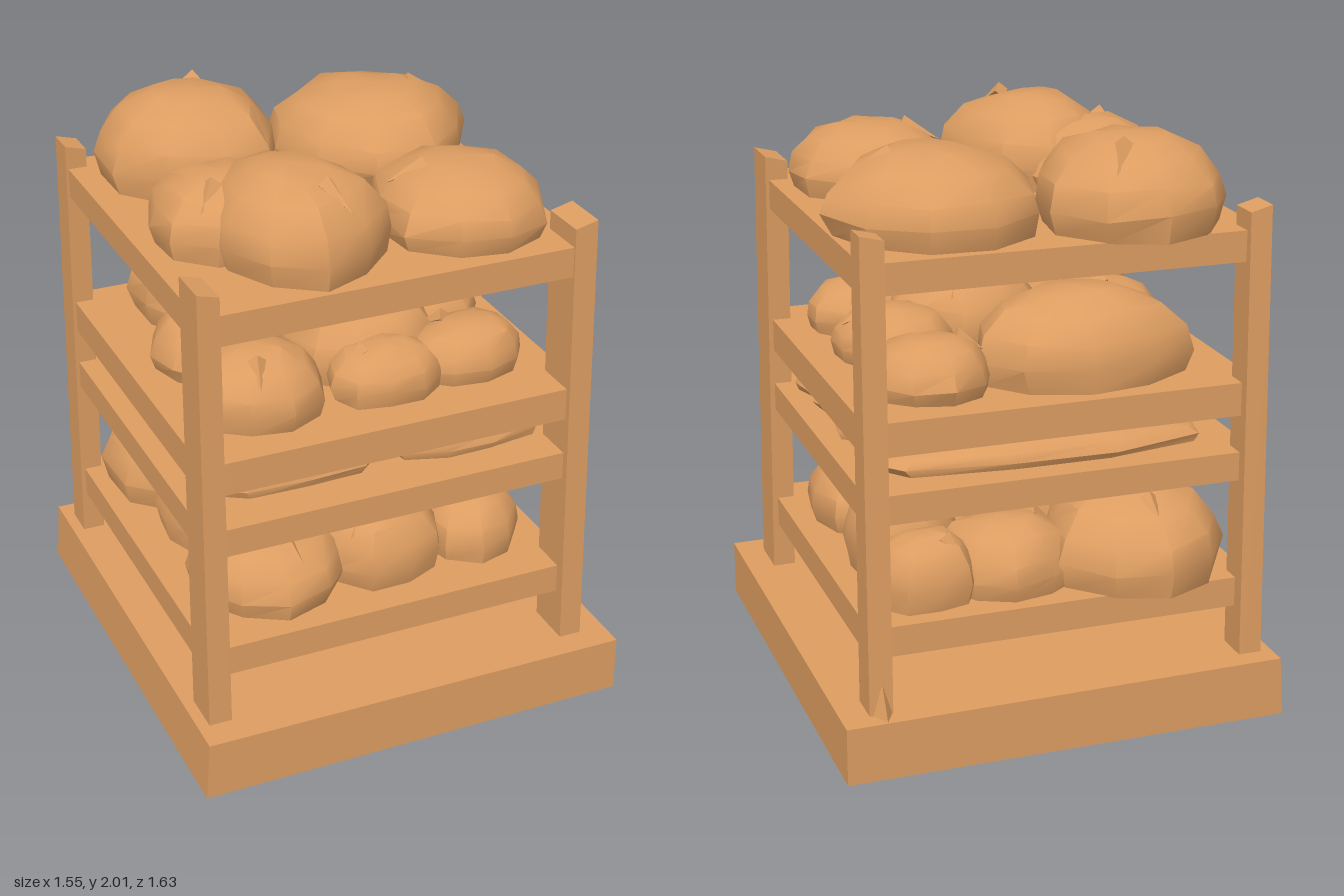
import * as THREE from 'three';
import { toCreasedNormals } from 'three/addons/utils/BufferGeometryUtils.js';

const crust = new THREE.MeshStandardMaterial({ color: 0xdd9d61 });
crust.name = 'warm brown';

// small seeded generator, so every loaf is irregular but repeatable
function seeded(seed) {
  let s = seed * 7919 + 17;
  return () => ((s = (s * 16807) % 2147483647) / 2147483647);
}

function mesh(geometry, name) {
  const m = new THREE.Mesh(geometry, crust);
  m.name = name;
  return m;
}

// box whose vertices are moved by a rule
function bentBox(w, h, d, segments, rule, name) {
  const g = new THREE.BoxGeometry(w, h, d, ...segments);
  const p = g.attributes.position;
  const v = new THREE.Vector3();
  for (let i = 0; i < p.count; i++) {
    rule(v.fromBufferAttribute(p, i));
    p.setXYZ(i, v.x, v.y, v.z);
  }
  return mesh(toCreasedNormals(g, 0.3), name);
}

// post given by [x0, x1, z0, z1] at the bottom and at the top
function post(bottom, top, height, name) {
  return bentBox(1, 1, 1, [1, 1, 1], (v) => {
    const e = v.y > 0 ? top : bottom;
    const lift = v.y > 0 && v.x * e[0] > 0 ? 0.02 : 0;
    v.set(v.x < 0 ? e[0] : e[1], v.y > 0 ? height + lift : 0.19, v.z < 0 ? e[2] : e[3]);
  }, name);
}

// loaf cross-sections: [radius, height], both relative
const RINGS = [[0.93, 0], [1, 0.28], [0.93, 0.55], [0.72, 0.81], [0.4, 0.96]];
const SIDES = 10;

function loaf([x, z, rx, rz, h], y, seed, slashes, square) {
  const rand = seeded(seed);
  const group = new THREE.Group();
  group.name = 'loaf';
  const turn = rand() * 6;
  const wobble = Array.from({ length: SIDES }, () => 0.93 + rand() * 0.11);
  const lean = [(rand() - 0.5) * 0.25, (rand() - 0.5) * 0.25];
  const pos = [];
  const index = [];
  RINGS.forEach(([r, t], i) => {
    for (let j = 0; j < SIDES; j++) {
      const a = turn + (j / SIDES) * Math.PI * 2;
      const c = Math.cos(a), s = Math.sin(a);
      // square > 2 gives blunter ends
      const blunt = (Math.abs(c) ** square + Math.abs(s) ** square) ** (-1 / square);
      const k = r * wobble[j] * blunt * (0.97 + rand() * 0.06);
      const dy = i ? (rand() - 0.5) * 0.07 : 0;
      pos.push((c * k + lean[0] * t * (1 - r)) * rx, (t + dy) * h, (s * k + lean[1] * t * (1 - r)) * rz);
    }
  });
  const peak = RINGS.length * SIDES;
  pos.push(lean[0] * rx, h, lean[1] * rz, 0, 0, 0);
  for (let j = 0; j < SIDES; j++) {
    const n = (j + 1) % SIDES;
    for (let i = 0; i < RINGS.length - 1; i++) {
      const a = i * SIDES + j, b = i * SIDES + n;
      index.push(a, a + SIDES, b, b, a + SIDES, b + SIDES);
    }
    const last = (RINGS.length - 1) * SIDES;
    index.push(last + j, peak, last + n, j, n, peak + 1);
  }
  const g = new THREE.BufferGeometry();
  g.setAttribute('position', new THREE.Float32BufferAttribute(pos, 3));
  g.setIndex(index);
  group.add(mesh(toCreasedNormals(g, 0.7), 'crust'));

  // low ridges of crust along the scored cuts, half sunk into the dome
  const slope = Math.atan2(h * 0.6, (rx + rz) / 2);
  for (let i = 0; i < slashes; i++) {
    const a = rand() * Math.PI * 2;
    const ridge = mesh(toCreasedNormals(new THREE.ConeGeometry(0.03, 0.5 * rx, 4), 0.2), 'scoredRidge');
    ridge.position.set(Math.cos(a) * rx * 0.62, h * 0.82, Math.sin(a) * rz * 0.62);
    ridge.rotation.set(0, -a, -Math.PI / 2 - slope);
    group.add(ridge);
  }
  group.position.set(x, y, z);
  return group;
}

// shelves: bottom and top height, then loaves as [x, z, radius x, radius z, height]
const SHELVES = [
  { y0: 0.37, y1: 0.475, slashes: 1, square: 2.2, loaves: [
    [-0.37, 0.34, 0.27, 0.28, 0.25], [0.04, 0.37, 0.24, 0.22, 0.26], [0.4, 0.31, 0.2, 0.26, 0.23],
    [-0.34, -0.45, 0.31, 0.33, 0.32], [-0.32, -0.03, 0.3, 0.22, 0.29], [0.08, -0.02, 0.24, 0.25, 0.28],
    [0.39, -0.17, 0.21, 0.2, 0.31], [0.1, -0.43, 0.24, 0.22, 0.24], [0.41, -0.49, 0.19, 0.15, 0.24],
  ] },
  { y0: 0.83, y1: 0.93, sag: true, slashes: 0, square: 4, loaves: [[0, -0.43, 0.58, 0.18, 0.1]] },
  { y0: 1.06, y1: 1.175, slashes: 1, square: 2.2, loaves: [
    [-0.4, 0.36, 0.24, 0.23, 0.23], [0.04, 0.41, 0.2, 0.16, 0.18], [0.36, 0.37, 0.22, 0.17, 0.18],
    [0.05, 0.17, 0.28, 0.24, 0.26], [0.36, 0.0, 0.22, 0.2, 0.18], [-0.4, 0.0, 0.23, 0.23, 0.21],
    [-0.18, -0.38, 0.38, 0.28, 0.305], [0.36, -0.4, 0.22, 0.21, 0.19],
  ] },
  { y0: 1.59, y1: 1.695, slashes: 1, square: 2, loaves: [
    [-0.32, -0.43, 0.325, 0.34, 0.305], [0.31, -0.32, 0.36, 0.37, 0.27],
    [-0.24, 0.32, 0.295, 0.35, 0.3], [-0.4, 0.13, 0.265, 0.265, 0.24],
    [0.34, 0.35, 0.295, 0.325, 0.23],
  ] },
];

// rows of long flat loaves on the second shelf
[0.41, 0.18, -0.1].forEach((z) => {
  SHELVES[1].loaves.push([-0.29, z, 0.32, 0.13, 0.1], [0.32, z + 0.02, 0.28, 0.13, 0.105]);
});

export function createModel() {
  const rack = new THREE.Group();
  rack.name = 'breadRack';

  // plinth, slightly uneven at the corners
  rack.add(bentBox(1.55, 0.2, 1.63, [1, 1, 1], (v) => {
    v.y += 0.1;
    if (v.y > 0.1 && v.x < 0) {
      v.x += 0.015;
      v.y += 0.01;
    }
  }, 'base'));

  // corner posts, leaning a little
  rack.add(
    post([0.6, 0.68, 0.55, 0.72], [0.59, 0.67, 0.51, 0.68], 1.76, 'frontLeftPost'),
    post([-0.72, -0.64, 0.56, 0.71], [-0.71, -0.635, 0.53, 0.68], 1.76, 'frontRightPost'),
    post([0.6, 0.68, -0.75, -0.63], [0.59, 0.67, -0.7, -0.605], 1.77, 'backLeftPost'),
    post([-0.72, -0.64, -0.74, -0.62], [-0.71, -0.635, -0.71, -0.6], 1.76, 'backRightPost'),
  );

  // splinter at the foot of one back post
  const spur = mesh(toCreasedNormals(new THREE.ConeGeometry(0.075, 0.13, 4), 0.3), 'postFoot');
  spur.position.set(0.635, 0.262, -0.735);
  spur.scale.x = 0.55;
  rack.add(spur);

  SHELVES.forEach((s, n) => {
    const h = s.y1 - s.y0;
    // board, with a sagging underside where marked
    rack.add(bentBox(1.36, h, 1.36, [2, 1, 2], (v) => {
      const centre = Math.abs(v.x) < 0.01 && Math.abs(v.z) < 0.01;
      if (s.sag && centre && v.y < 0) v.set(-0.37, -h / 2 - 0.035, -0.45);
      v.x -= 0.022;
      v.z -= 0.005;
      v.y += s.y0 + h / 2;
    }, 'shelf'));
    s.loaves.forEach((l, i) => rack.add(loaf(l, s.y1 - 0.003, n * 20 + i + 1, s.slashes, s.square)));
  });
  return rack;
}
